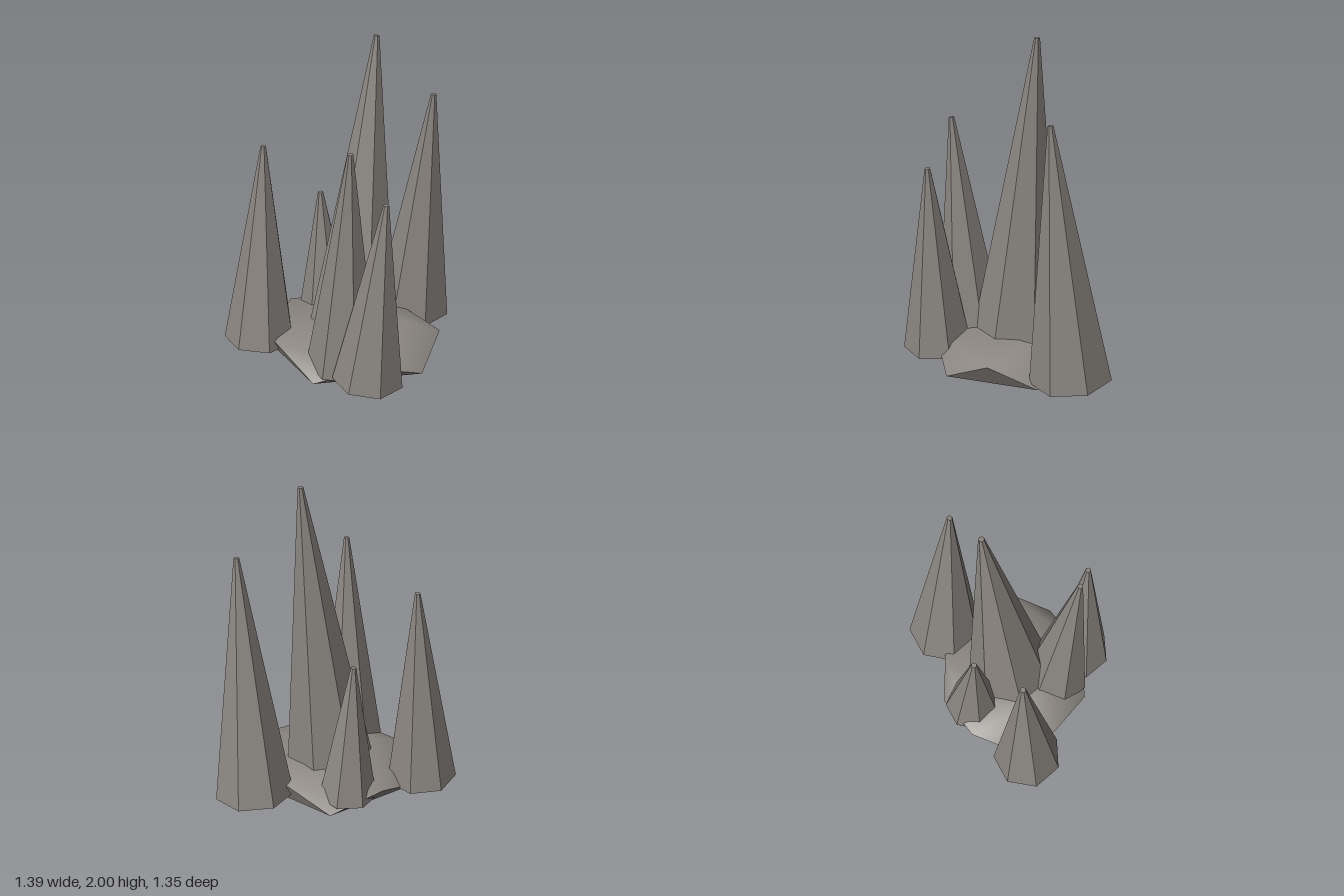
import * as THREE from 'three';

const stone = new THREE.MeshStandardMaterial({ color: 0x8a8580 });
stone.name = 'stoneGrey';

// Seven-sided spike leaning from its foot to its tip, with flat facets
function makeSpike(name, foot, tip, radius) {
  const a = new THREE.Vector3(...foot), b = new THREE.Vector3(...tip);
  const axis = b.clone().sub(a);
  const geo = new THREE.CylinderGeometry(0.017, radius, axis.length(), 7, 1, false, Math.PI).toNonIndexed();
  geo.computeVertexNormals();
  const mesh = new THREE.Mesh(geo, stone);
  mesh.name = name;
  mesh.position.copy(a).add(b).multiplyScalar(0.5);
  mesh.quaternion.setFromUnitVectors(new THREE.Vector3(0, 1, 0), axis.normalize());
  return mesh;
}

function makeGeometry(points, index, flat) {
  let geo = new THREE.BufferGeometry();
  geo.setAttribute('position', new THREE.Float32BufferAttribute(points.flat(), 3));
  geo.setIndex(index);
  if (flat) geo = geo.toNonIndexed();
  geo.computeVertexNormals();
  return geo;
}

// Low rock mound: apex, inner ring, rim ring and ground ring of five points each
function makeMound() {
  const apex = [0.1, 0.2, 0.03];
  const inner = [[0.47, 0.19, 0.02], [0.2, 0.19, 0.33], [-0.13, 0.2, 0.2], [-0.13, 0.2, -0.17], [0.18, 0.19, -0.2]];
  const rim = [[0.66, 0.14, 0.02], [0.27, 0.13, 0.5], [-0.34, 0.13, 0.29], [-0.34, 0.13, -0.26], [0.22, 0.14, -0.43]];
  const ground = [[0.575, 0, 0.31], [-0.07, 0, 0.515], [-0.45, 0, 0.05], [-0.06, 0, -0.445], [0.58, 0, -0.26]];
  const points = [apex, ...inner, ...rim, ...ground];
  const top = [], under = [];
  for (let i = 0; i < 5; i++) {
    const j = (i + 1) % 5;
    const [n0, n1, r0, r1, g0, g1] = [1 + i, 1 + j, 6 + i, 6 + j, 11 + i, 11 + j];
    top.push(0, n1, n0, n0, n1, r1, n0, r1, r0, r0, r1, g0);
    under.push(g0, r1, g1);
    if (i > 0 && i < 4) under.push(11, g0, g1);
  }
  const group = new THREE.Group();
  group.name = 'mound';
  const cap = new THREE.Mesh(makeGeometry(points, top, false), stone);
  cap.name = 'moundTop';
  const base = new THREE.Mesh(makeGeometry(points, under, true), stone);
  base.name = 'moundUnderside';
  group.add(cap, base);
  return group;
}

export function createModel() {
  const model = new THREE.Group();
  model.name = 'stalagmiteCluster';
  model.add(makeMound());
  // name, foot, tip, foot radius
  const spikes = [
    ['centreSpike', [0.108, 0.05, 0.02], [0.217, 2.0, -0.14], 0.293],
    ['rightSpike', [-0.476, 0.055, 0.1], [-0.43, 1.35, 0.06], 0.226],
    ['backLeftSpike', [0.45, 0.05, -0.425], [0.55, 1.59, -0.32], 0.248],
    ['backSpike', [-0.1, 0.05, -0.25], [-0.13, 0.94, -0.22], 0.185],
    ['frontSpike', [0.085, 0.05, 0.315], [0.137, 1.48, 0.415], 0.226],
    ['frontLeftSpike', [0.26, 0.05, 0.48], [0.35, 1.215, 0.49], 0.218],
  ];
  for (const s of spikes) model.add(makeSpike(...s));
  return model;
}
